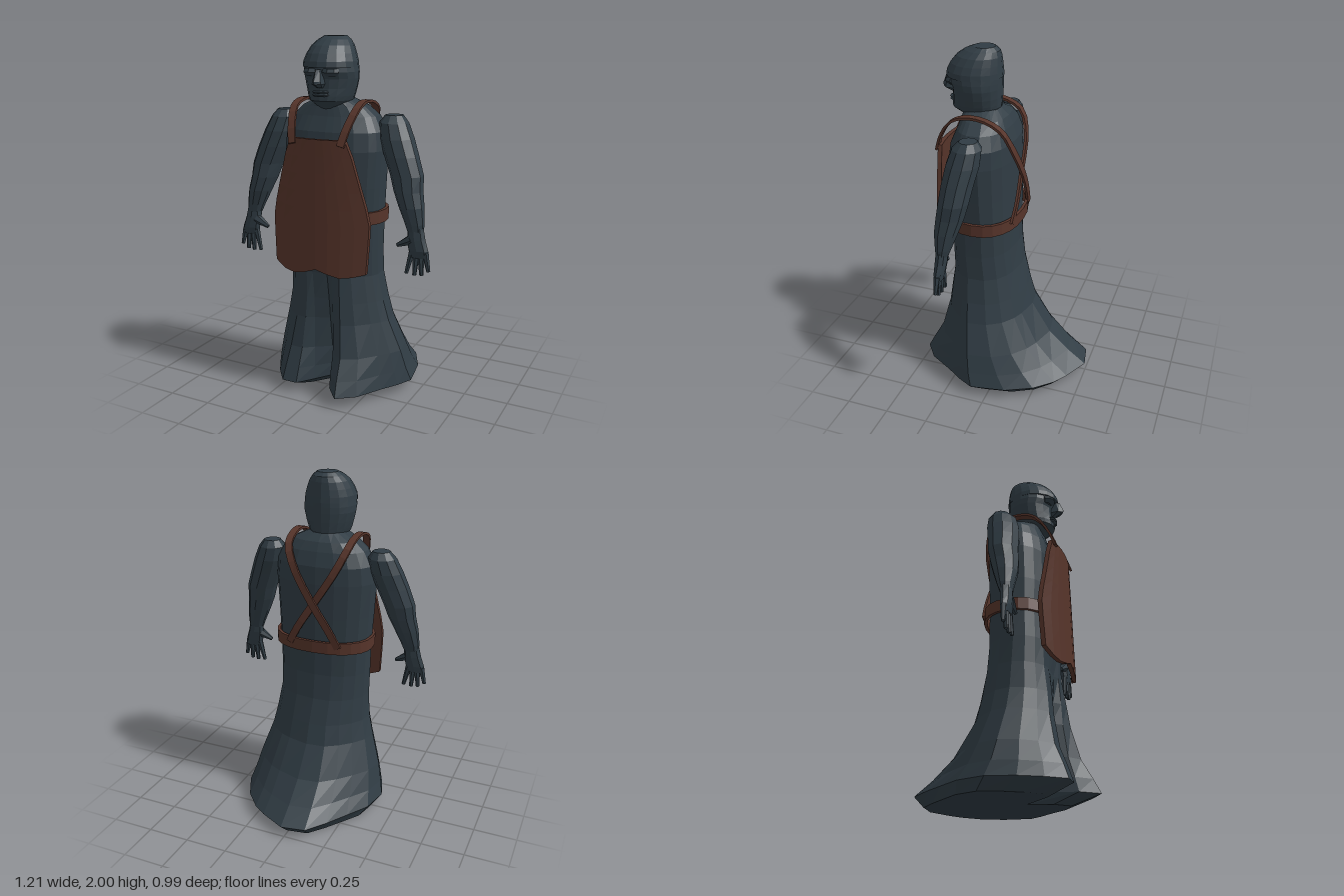
import * as THREE from 'three';

const V = (x, y, z) => new THREE.Vector3(x, y, z);
const slate = new THREE.MeshStandardMaterial({ color: 0x303c44 });
const leather = new THREE.MeshStandardMaterial({ color: 0x56342a });
slate.name = 'dark slate';
leather.name = 'brown leather';
slate.flatShading = leather.flatShading = true;

function add(group, name, geometry, material) {
  const mesh = new THREE.Mesh(geometry, material);
  mesh.name = name;
  group.add(mesh);
  return mesh;
}

// Skin a list of rings of points, closing both ends with fans
function loft(rings) {
  const n = rings[0].length, pos = [], idx = [];
  rings.forEach(r => r.forEach(p => pos.push(p.x, p.y, p.z)));
  for (let i = 0; i < rings.length - 1; i++) {
    for (let j = 0; j < n; j++) {
      const a = i * n + j, b = i * n + (j + 1) % n;
      idx.push(a, a + n, b, b, a + n, b + n);
    }
  }
  [0, rings.length - 1].forEach((k, end) => {
    const c = rings[k].reduce((s, p) => s.add(p), V(0, 0, 0)).divideScalar(n);
    const ci = pos.length / 3;
    pos.push(c.x, c.y, c.z);
    for (let j = 0; j < n; j++) {
      const a = k * n + j, b = k * n + (j + 1) % n;
      if (end) idx.push(ci, b, a); else idx.push(ci, a, b);
    }
  });
  const g = new THREE.BufferGeometry();
  g.setAttribute('position', new THREE.Float32BufferAttribute(pos, 3));
  g.setIndex(idx);
  g.computeVertexNormals();
  return g;
}

// Slightly squared unit ellipse
const squash = v => Math.sign(v) * Math.abs(v) ** 0.85;
const oval = t => [squash(Math.cos(t)), squash(Math.sin(t))];

// Horizontal elliptical rings from rows of [y, cx, rx, cz, rz]
function stack(rows, n) {
  return loft(rows.map(([y, cx, rx, cz, rz]) => Array.from({ length: n }, (_, j) => {
    const t = j / n * Math.PI * 2 + Math.PI / 2;
    return V(cx + rx * Math.cos(t), y, cz + rz * Math.sin(t));
  })));
}

// Flat strip swept along a curve, its face turned to normalAt(point)
function ribbon(curve, width, thick, normalAt, segments) {
  const rings = [];
  for (let i = 0; i <= segments; i++) {
    const p = curve.getPoint(i / segments), t = curve.getTangent(i / segments);
    const n = normalAt(p);
    n.addScaledVector(t, -n.dot(t)).normalize();
    const b = n.clone().cross(t).normalize();
    rings.push([[1, 1], [-1, 1], [-1, -1], [1, -1]].map(([u, v]) =>
      p.clone().addScaledVector(n, u * thick / 2).addScaledVector(b, v * width / 2)));
  }
  return loft(rings);
}

// Tapered rod between two points
function rod(a, b, ra, rb) {
  const d = b.clone().sub(a);
  const g = new THREE.CylinderGeometry(rb, ra, d.length(), 6);
  g.applyQuaternion(new THREE.Quaternion().setFromUnitVectors(V(0, 1, 0), d.normalize()));
  const m = a.clone().add(b).multiplyScalar(0.5);
  return g.translate(m.x, m.y, m.z);
}

// Robe: the ragged hem outline (x, z) melts into an oval towards the waist
function robe() {
  const hem = [[.455, .09], [.41, .18], [.35, .27], [.265, .415], [.165, .49], [.08, .39], [.03, .22],
    [-.05, .33], [-.12, .42], [-.21, .42], [-.29, .32], [-.36, .2], [-.41, .05], [-.375, -.11],
    [-.29, -.24], [-.21, -.36], [-.12, -.475], [.02, -.5], [.17, -.425], [.25, -.37], [.345, -.265], [.42, -.11]];
  // y, cx, rx, cz, rz, share of hem outline
  const levels = [
    [0, .01, .37, -.05, .385, 1], [.06, .022, .433, 0, .495, 1], [.14, .02, .412, .035, .42, .95],
    [.25, .018, .385, .065, .33, .8], [.43, .012, .325, .1, .25, .6], [.55, .01, .295, .11, .225, .45],
    [.7, 0, .275, .12, .195, .25], [.85, 0, .275, .13, .185, .1], [1.03, 0, .278, .13, .18, 0],
    [1.2, 0, .288, .135, .185, 0], [1.4, 0, .3, .135, .185, 0], [1.5, 0, .29, .13, .175, 0],
    [1.58, 0, .25, .125, .145, 0], [1.63, 0, .19, .13, .125, 0], [1.67, 0, .1, .15, .1, 0]];
  return loft(levels.map(([y, cx, rx, cz, rz, w]) => hem.map(([x, z]) => {
    const u = (x - .022) / .433, v = z / .495;
    const [ou, ov] = oval(Math.atan2(v, u));
    return V(cx + rx * (ou + (u - ou) * w), y, cz + rz * (ov + (v - ov) * w));
  })));
}

// Apron: a thin panel bent round the body, with flared sides and a wavy hem
function apron() {
  const g = new THREE.BoxGeometry(2, 1, 0.025, 8, 8, 1);
  const p = g.attributes.position;
  const widths = [.28, .285, .29, .293, .275, .25, .225, .2, .165];
  const hem = [.76, .725, .715, .73, .755, .735, .72, .73, .75];
  for (let i = 0; i < p.count; i++) {
    const u = p.getX(i), v = p.getY(i) + 0.5;
    const x = u * widths[Math.round(v * 8)];
    const bottom = hem[Math.round((u + 1) * 4)];
    p.setXYZ(i, x, bottom + (1.47 - bottom) * v, .368 + .015 * (1 - v) - .7 * x * x + p.getZ(i));
  }
  g.computeVertexNormals();
  return g;
}

function buildHead() {
  const head = new THREE.Group();
  head.name = 'head';
  // [y, half width, back z, front z]
  const shell = rows => stack(rows.map(([y, w, b, f]) => [y, 0, w, (b + f) / 2, (f - b) / 2]), 18);
  add(head, 'face', shell([[1.6, .075, .07, .24], [1.63, .085, .06, .27], [1.665, .115, .05, .325],
    [1.69, .125, .048, .325], [1.73, .137, .045, .32], [1.78, .149, .043, .32], [1.815, .151, .042, .335],
    [1.86, .145, .042, .335]]), slate);
  add(head, 'cap', shell([[1.84, .149, .038, .355], [1.87, .146, .04, .35], [1.91, .132, .043, .33],
    [1.95, .113, .047, .295], [1.98, .087, .055, .25], [2, .06, .08, .2]]), slate);
  add(head, 'nose', stack([[1.735, 0, .018, .315, .025], [1.755, 0, .032, .335, .05],
    [1.77, 0, .028, .335, .054], [1.83, 0, .014, .325, .04]], 6), slate);
  for (const s of [-1, 1]) {
    add(head, 'brow', stack([[1.795, s * .055, .035, .30, .025], [1.815, s * .055, .05, .305, .045],
      [1.835, s * .055, .045, .30, .04]], 8), slate);
  }
  for (const y of [1.697, 1.712]) {
    add(head, 'lip', stack([[y - .007, 0, .04, .315, .018], [y, 0, .05, .315, .028],
      [y + .006, 0, .04, .315, .018]], 8), slate);
  }
  return head;
}

function buildArm(s) {
  const arm = new THREE.Group();
  arm.name = s > 0 ? 'leftArm' : 'rightArm';
  const place = rows => rows.map(([y, x, ...r]) => [y, s * x, ...r]);
  add(arm, 'sleeve', stack(place([[.99, .507, .045, .205, .035], [1.03, .5, .054, .2, .045],
    [1.12, .475, .07, .19, .068], [1.2, .45, .08, .175, .08], [1.28, .434, .091, .16, .085],
    [1.38, .396, .095, .148, .09], [1.47, .362, .094, .132, .093], [1.55, .338, .08, .118, .082],
    [1.59, .335, .05, .11, .05]]), 10), slate);
  add(arm, 'hand', stack(place([[.85, .535, .05, .215, .02], [.89, .53, .057, .215, .028],
    [.95, .515, .052, .21, .033], [1.01, .508, .046, .205, .034]]), 8), slate);
  // Fingers and thumb: root x, root y, tip x, tip y
  [[.495, .88, .465, .755], [.52, .87, .512, .75], [.545, .87, .553, .755], [.57, .88, .592, .78],
    [.49, .945, .41, .905]].forEach(([x0, y0, x1, y1], i) =>
    add(arm, i < 4 ? 'finger' : 'thumb',
      rod(V(s * x0, y0, .215), V(s * x1, y1, .22), i < 4 ? .019 : .03, .011), slate));
  return arm;
}

export function createModel() {
  const model = new THREE.Group();
  model.name = 'apronedFigure';
  add(model, 'robe', robe(), slate);
  model.add(buildHead());
  add(model, 'apron', apron(), leather);

  // Belt around the waist
  const beltPoints = Array.from({ length: 24 }, (_, i) => {
    const [u, v] = oval(i / 24 * Math.PI * 2);
    return V(u * .287, 1.035, .125 + v * .2);
  });
  add(model, 'belt', ribbon(new THREE.CatmullRomCurve3(beltPoints, true), .07, .018,
    p => V(p.x / .08, 0, (p.z - .125) / .04), 24), leather);

  for (const s of [-1, 1]) {
    model.add(buildArm(s));
    // Strap from the bib over the shoulder, crossing the back to the belt
    const path = new THREE.CatmullRomCurve3([
      [.145, 1.44, .375], [.165, 1.53, .34], [.188, 1.625, .27], [.188, 1.657, .19], [.185, 1.65, .08],
      [.175, 1.6, -.01], [.12, 1.48, -.058], [0, 1.29, -.075 - s * .006], [-.09, 1.15, -.075], [-.15, 1.04, -.065]
    ].map(([x, y, z]) => V(s * x, y, z)));
    add(model, 'strap', ribbon(path, .042, .014,
      p => V(0, p.y - Math.min(p.y, 1.48), p.z - .13), 22), leather);
  }
  return model;
}
